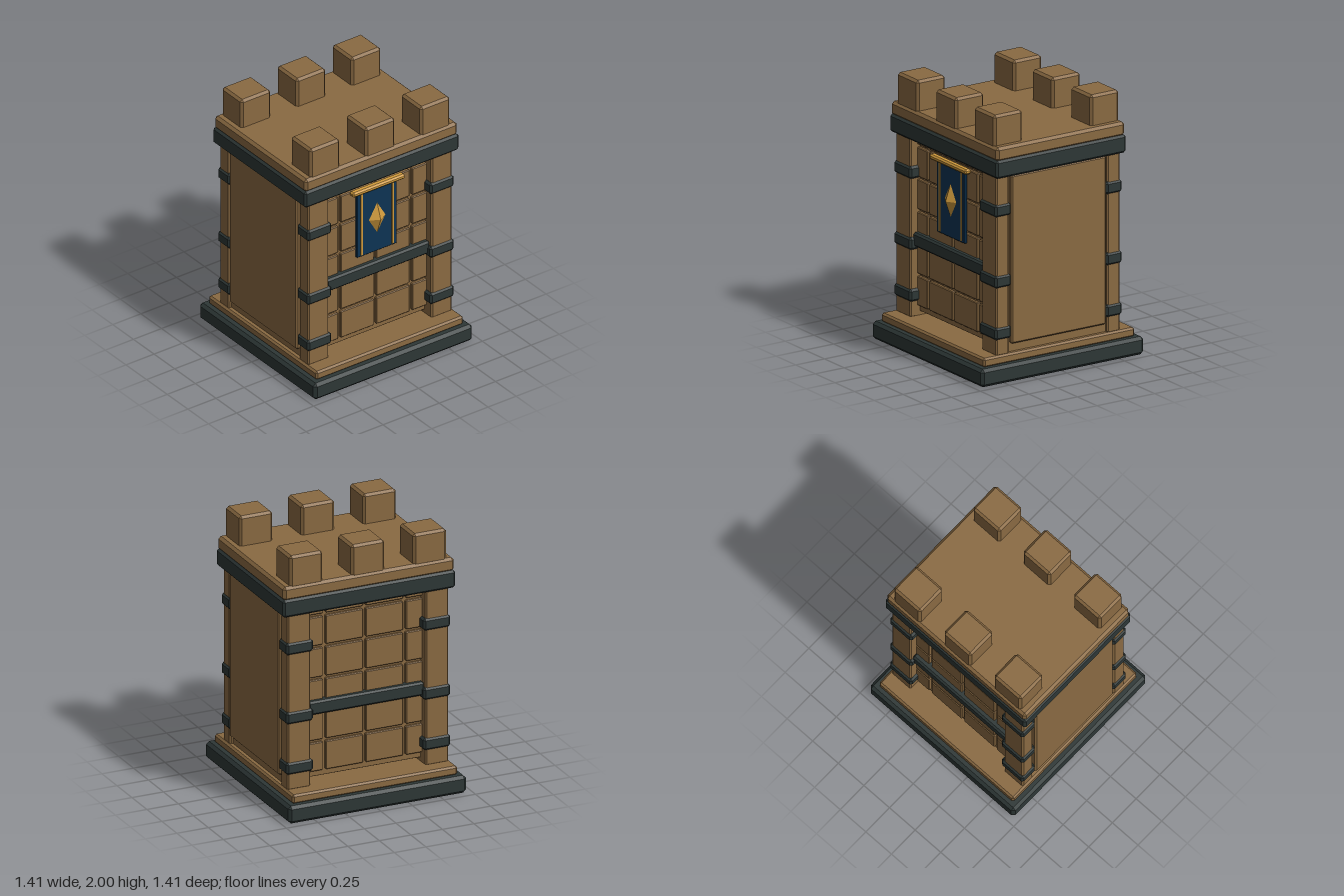
import * as THREE from 'three';
import { ConvexGeometry } from 'three/addons/geometries/ConvexGeometry.js';

const material = (name, color) => {
  const m = new THREE.MeshStandardMaterial({ color });
  m.name = name;
  return m;
};

// Box between two corners with every edge chamfered by c
function chamferBox([x0, y0, z0], [x1, y1, z1], c) {
  const half = [(x1 - x0) / 2, (y1 - y0) / 2, (z1 - z0) / 2];
  const points = [];
  for (const sx of [-1, 1]) for (const sy of [-1, 1]) for (const sz of [-1, 1]) {
    for (let axis = 0; axis < 3; axis++) {
      const p = half.map((h, i) => (i === axis ? h : h - c));
      points.push(new THREE.Vector3(sx * p[0], sy * p[1], sz * p[2]));
    }
  }
  const geometry = new ConvexGeometry(points);
  geometry.translate((x0 + x1) / 2, (y0 + y1) / 2, (z0 + z1) / 2);
  return geometry;
}

export function createModel() {
  const wood = material('brown wood', 0x8a6a42);
  const iron = material('dark iron', 0x2d3736);
  const cloth = material('blue cloth', 0x0d3454);
  const gold = material('gold', 0xd09a3c);

  const model = new THREE.Group();
  model.name = 'tower';

  const add = (name, geometry, mat, parent = model) => {
    const mesh = new THREE.Mesh(geometry, mat);
    mesh.name = name;
    parent.add(mesh);
    return mesh;
  };
  const box = (name, a, b, mat, c = 0.012, parent = model) =>
    add(name, chamferBox(a, b, c), mat, parent);

  // Stepped base
  box('baseSlab', [-0.705, 0, -0.705], [0.705, 0.135, 0.705], iron, 0.022);
  box('baseStep', [-0.655, 0.13, -0.655], [0.655, 0.2, 0.655], wood, 0.014);

  // Inner wall, raised slightly above the base
  box('wallCore', [-0.47, 0.23, -0.452], [0.47, 1.56, 0.452], wood, 0.002);

  // Top band, roof and battlements
  box('topBand', [-0.685, 1.54, -0.563], [0.685, 1.675, 0.563], iron, 0.016);
  box('roof', [-0.678, 1.665, -0.556], [0.678, 1.772, 0.556], wood, 0.02);
  for (const x of [-0.49, 0, 0.49]) for (const s of [-1, 1]) {
    const z = s * 0.418;
    box('battlement', [x - 0.132, 1.75, z - 0.123], [x + 0.132, 2, z + 0.123], wood, 0.018);
  }

  // Side walls with large plain panels
  for (const s of [-1, 1]) {
    const span = (a, b) => [Math.min(s * a, s * b), Math.max(s * a, s * b)];
    const [w0, w1] = span(0.455, 0.615);
    box('sideWall', [w0, 0.19, -0.5], [w1, 1.55, 0.5], wood, 0.002);
    const [p0, p1] = span(0.58, 0.65);
    box('sidePanel', [p0, 0.265, -0.41], [p1, 1.535, 0.41], wood, 0.012);

    // Corner posts and their iron clamps
    for (const t of [-1, 1]) {
      const depth = (a, b) => [Math.min(t * a, t * b), Math.max(t * a, t * b)];
      const [x0, x1] = span(0.455, 0.64);
      const [z0, z1] = depth(0.425, 0.537);
      box('cornerPost', [x0, 0.19, z0], [x1, 1.56, z1], wood, 0.012);
      const [c0, c1] = span(0.437, 0.652);
      const [d0, d1] = depth(0.41, 0.55);
      for (const y of [0.36, 0.75, 1.285]) {
        box('postClamp', [c0, y - 0.047, d0], [c1, y + 0.047, d1], iron, 0.016);
      }
    }
  }

  // Front and back faces: raised blocks and a cross beam
  const rows = [0.265, 0.505, 0.75, 0.99, 1.235, 1.477, 1.54];
  const columns = [-0.49, -0.318, 0, 0.318, 0.49];
  for (const turn of [0, Math.PI]) {
    const face = new THREE.Group();
    face.name = turn ? 'backFace' : 'frontFace';
    face.rotation.y = turn;
    for (let r = 0; r < rows.length - 1; r++) for (let c = 0; c < columns.length - 1; c++) {
      box('wallBlock', [columns[c] + 0.011, rows[r] + 0.011, 0.43],
        [columns[c + 1] - 0.011, rows[r + 1] - 0.009, 0.476], wood, 0.006, face);
    }
    box('crossBeam', [-0.46, 0.728, 0.44], [0.46, 0.832, 0.515], iron, 0.014, face);
    model.add(face);
  }

  // Banner hung from a rod
  const banner = new THREE.Group();
  banner.name = 'banner';
  box('bannerCloth', [-0.178, 0.91, 0.474], [0.178, 1.46, 0.498], cloth, 0.005, banner);
  for (const s of [-1, 1]) {
    box('bannerTrim', [s * 0.138 - 0.009, 0.922, 0.494], [s * 0.138 + 0.009, 1.455, 0.503], gold, 0.002, banner);
  }
  box('bannerRod', [-0.232, 1.445, 0.474], [0.232, 1.485, 0.528], gold, 0.012, banner);
  const diamond = add('bannerDiamond', new THREE.OctahedronGeometry(1), gold, banner);
  diamond.scale.set(0.075, 0.127, 0.045);
  diamond.position.set(0, 1.19, 0.497);
  model.add(banner);

  return model;
}
